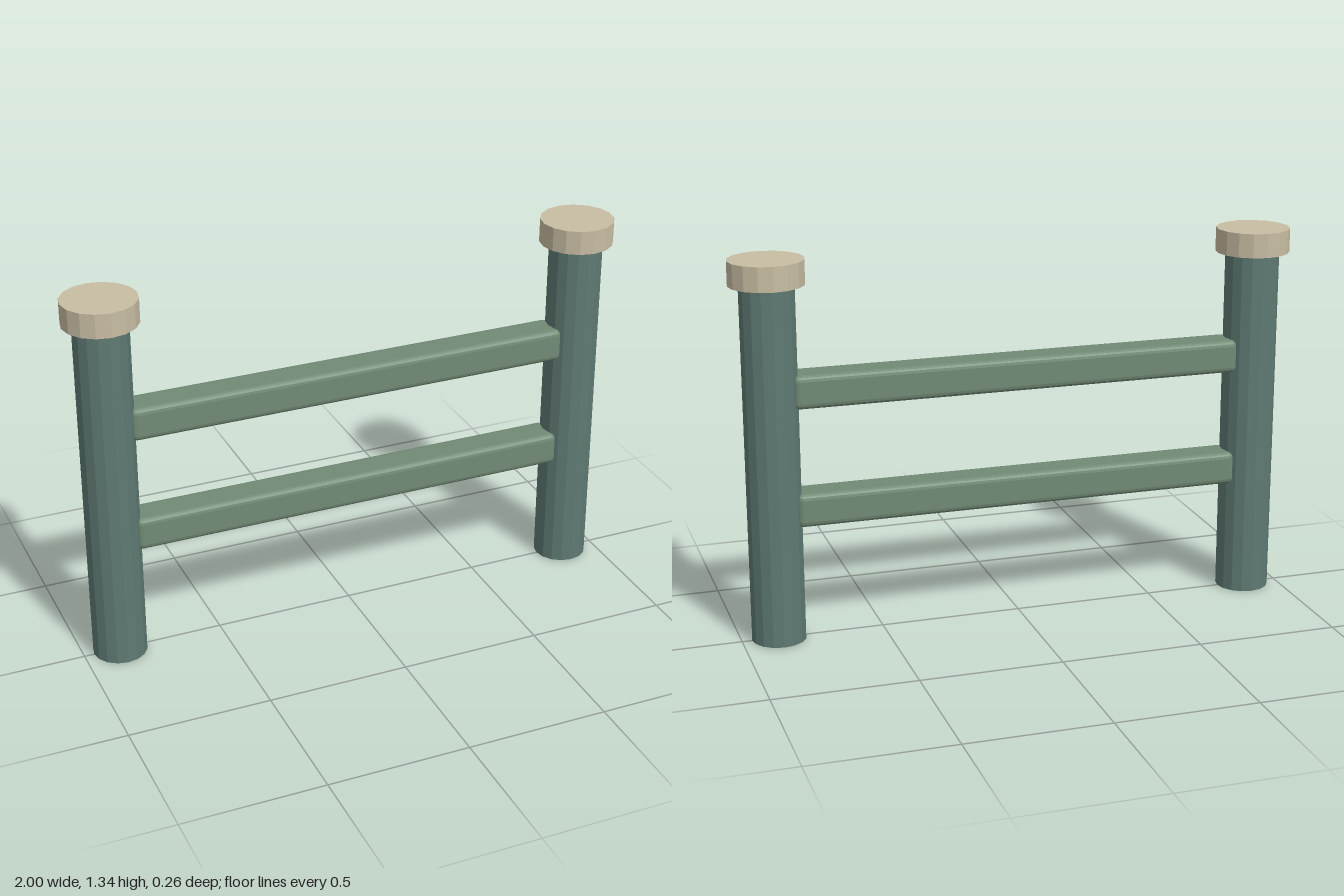
import * as THREE from 'three';
import { RoundedBoxGeometry } from 'three/addons/geometries/RoundedBoxGeometry.js';

const material = (color) => new THREE.MeshStandardMaterial({ color, flatShading: true });

export function createModel() {
  const group = new THREE.Group();
  const postMaterial = material(0x5f7a73);
  const capMaterial = material(0xc8bda3);
  const railMaterial = material(0x718a75);

  const add = (name, geometry, mat, x, y) => {
    const mesh = new THREE.Mesh(geometry, mat);
    mesh.name = name;
    mesh.position.set(x, y, 0);
    group.add(mesh);
  };

  // Two faceted posts, each with a wider flat cap
  const postHeight = 1.255, capHeight = 0.085;
  const post = new THREE.CylinderGeometry(0.095, 0.095, postHeight, 16);
  const cap = new THREE.CylinderGeometry(0.13, 0.13, capHeight, 16);
  for (const [side, x] of [['left', 0.87], ['right', -0.87]]) {
    add(side + 'Post', post, postMaterial, x, postHeight / 2);
    add(side + 'Cap', cap, capMaterial, x, postHeight + capHeight / 2);
  }

  // Two horizontal rails with softened edges, set into the posts
  const rail = new RoundedBoxGeometry(1.6, 0.117, 0.126, 2, 0.02);
  add('lowerRail', rail, railMaterial, 0, 0.471);
  add('upperRail', rail, railMaterial, 0, 0.888);

  return group;
}
